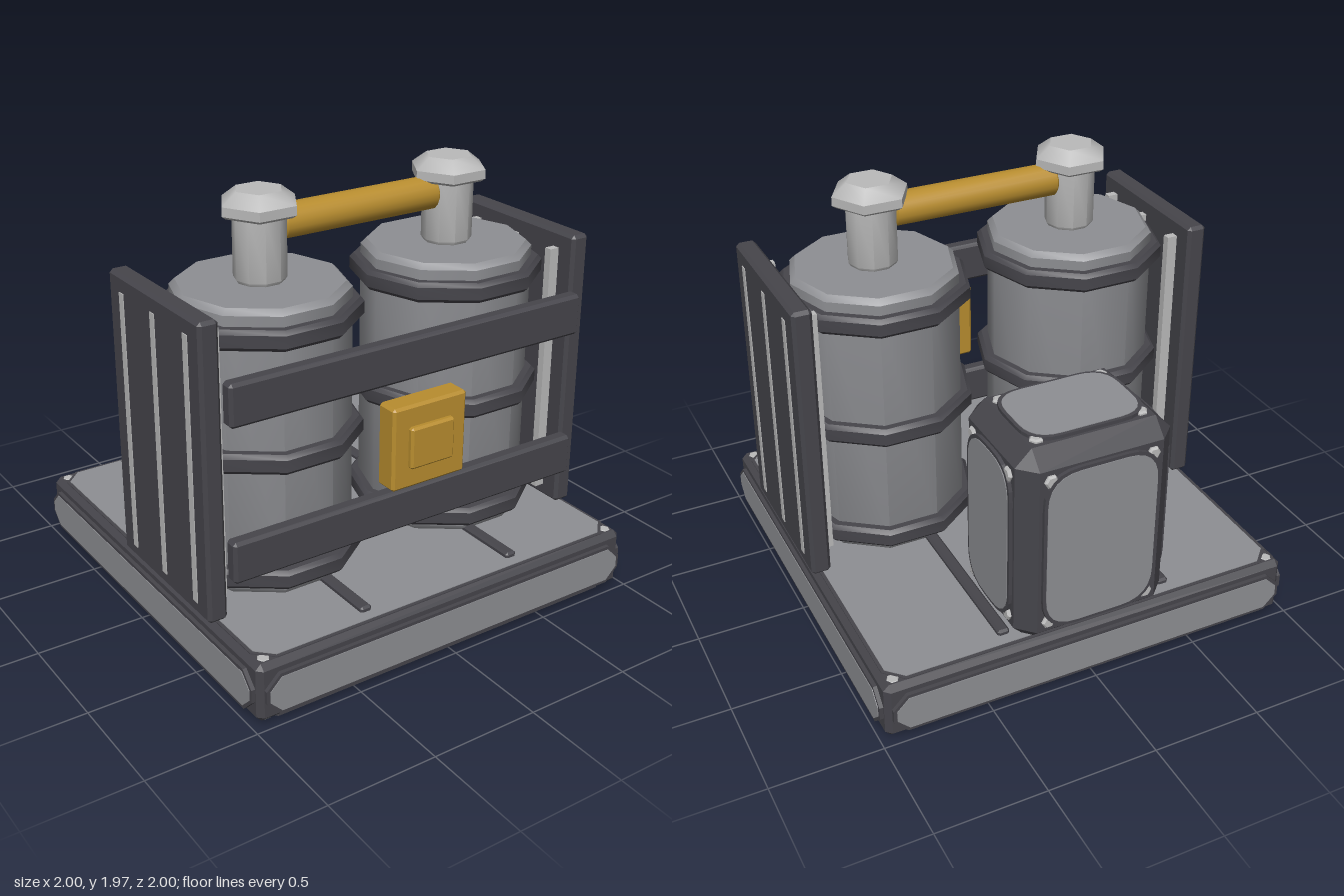
import * as THREE from 'three';
import { toCreasedNormals } from 'three/addons/utils/BufferGeometryUtils.js';
import { ConvexGeometry } from 'three/addons/geometries/ConvexGeometry.js';

const mat = (name, color) => {
  const m = new THREE.MeshStandardMaterial({ color });
  m.name = name;
  return m;
};

export function createModel() {
  const dark = mat('dark frame', 0x46454b);
  const gray = mat('gray panel', 0x8e8f93);
  const silver = mat('silver metal', 0xbababa);
  const gold = mat('gold accent', 0xb88d2f);
  const model = new THREE.Group();

  const add = (parent, name, geo, material, x = 0, y = 0, z = 0) => {
    const m = new THREE.Mesh(geo, material);
    m.name = name;
    m.position.set(x, y, z);
    parent.add(m);
    return m;
  };
  const group = (name, parent = model) => {
    const g = new THREE.Group();
    g.name = name;
    parent.add(g);
    return g;
  };

  // Box with every edge cut at 45 degrees
  const chamferBox = (w, h, d, c = 0.012) => {
    const pts = [];
    for (const sx of [-1, 1]) for (const sy of [-1, 1]) for (const sz of [-1, 1]) {
      const [x, y, z] = [w / 2, h / 2, d / 2];
      pts.push(new THREE.Vector3(sx * x, sy * (y - c), sz * (z - c)));
      pts.push(new THREE.Vector3(sx * (x - c), sy * y, sz * (z - c)));
      pts.push(new THREE.Vector3(sx * (x - c), sy * (y - c), sz * z));
    }
    return new ConvexGeometry(pts);
  };

  // Turned solid with smooth sides and sharp bevels; profile runs bottom to top
  const turned = (profile, sides) => toCreasedNormals(new THREE.LatheGeometry(
    profile.map(([r, y]) => new THREE.Vector2(r, y)), sides, Math.PI / sides, Math.PI * 2), 0.7);

  const bevelDisc = (r, h, b, sides) => turned(
    [[0, -h / 2], [r - b, -h / 2], [r, b - h / 2], [r, h / 2 - b], [r - b, h / 2], [0, h / 2]], sides);

  // Rectangle outline with cut or rounded corners
  const outline = (w, h, c, round) => {
    const [x, y] = [w / 2, h / 2];
    const s = new THREE.Shape();
    const corner = (cx, cy, ex, ey) => (round ? s.quadraticCurveTo(cx, cy, ex, ey) : s.lineTo(ex, ey));
    s.moveTo(-x + c, -y);
    s.lineTo(x - c, -y);
    corner(x, -y, x, -y + c);
    s.lineTo(x, y - c);
    corner(x, y, x - c, y);
    s.lineTo(-x + c, y);
    corner(-x, y, -x, y - c);
    s.lineTo(-x, -y + c);
    corner(-x, -y, -x + c, -y);
    return s;
  };
  const plate = (w, h, c, depth, round) => new THREE.ExtrudeGeometry(
    outline(w, h, c, round), { depth, bevelEnabled: false, curveSegments: 6 });

  // Framed panel facing +z, with optional corner bolts at (bx, by)
  const boltGeo = bevelDisc(0.032, 0.03, 0.008, 6).rotateX(Math.PI / 2);
  const panel = (parent, name, w, h, c, round, bx, by) => {
    const g = group(name, parent);
    add(g, 'panelRim', plate(w + 0.03, h + 0.03, c + 0.01, 0.018, round), dark);
    add(g, 'panelFace', plate(w, h, c, 0.004, round), gray, 0, 0, 0.017);
    if (bx) for (const sx of [-1, 1]) for (const sy of [-1, 1])
      add(g, 'panelBolt', boltGeo, silver, sx * bx, sy * by, 0.002);
    return g;
  };

  // Base slab with panels on all six sides
  const base = group('base');
  add(base, 'baseFrame', chamferBox(1.95, 0.27, 1.95, 0.025), dark, 0, 0.15);
  for (let i = 0; i < 4; i++) {
    const p = panel(base, 'baseSidePanel', 1.87, 0.16, 0.055, false);
    const a = i * Math.PI / 2;
    p.position.set(Math.sin(a) * 0.977, 0.145, Math.cos(a) * 0.977);
    p.rotation.y = a;
  }
  for (const s of [1, -1]) {
    const p = panel(base, s > 0 ? 'deckPanel' : 'undersidePanel', 1.87, 1.87, 0.07, false, 0.92, 0.92);
    p.position.y = s > 0 ? 0.271 : 0.022;
    p.rotation.x = -s * Math.PI / 2;
  }
  for (const s of [-1, 1])
    add(base, 'deckRail', chamferBox(0.055, 0.05, 1.77, 0.01), dark, s * 0.393, 0.29, 0);

  // Ten-sided tanks with bands, bolt-headed valves, and side guards
  const bodyGeo = turned([[0, 0.28], [0.36, 0.29], [0.382, 0.32], [0.382, 1.555], [0.357, 1.58], [0, 1.58]], 10);
  const bandGeo = bevelDisc(0.431, 0.09, 0.018, 10);
  const postGeo = turned([[0, 1.57], [0.1, 1.575], [0.113, 1.595], [0.113, 1.88], [0, 1.88]], 10);
  const headGeo = turned([[0, 1.86], [0.155, 1.862], [0.173, 1.875], [0.173, 1.915], [0.105, 1.967], [0, 1.967]], 6);
  const guardGeo = chamferBox(0.09, 1.325, 0.766, 0.015);
  const stripGeo = new THREE.BoxGeometry(0.142, 1.19, 0.036);
  for (const s of [-1, 1]) {
    const tank = group(s > 0 ? 'leftTank' : 'rightTank');
    tank.position.set(s * 0.485, 0, 0.23);
    add(tank, 'tankBody', bodyGeo, gray);
    for (const y of [0.385, 0.925, 1.465]) add(tank, 'tankBand', bandGeo, dark, 0, y);
    add(tank, 'valvePost', postGeo, silver);
    add(tank, 'valveHead', headGeo, silver);

    const guard = group(s > 0 ? 'leftGuard' : 'rightGuard');
    add(guard, 'guardPlate', guardGeo, dark, s * 0.943, 0.9525, 0.23);
    for (const z of [-0.037, 0.233, 0.503])
      add(guard, 'guardStrip', stripGeo, silver, s * 0.921, 0.945, z);
  }

  // Pipe joining the two valves
  add(model, 'connectingPipe', bevelDisc(0.075, 0.8, 0.015, 16).rotateZ(Math.PI / 2), gold, 0, 1.81, 0.228);

  // Front crossbars and control box
  for (const y of [0.578, 1.272])
    add(model, 'crossbar', chamferBox(1.8, 0.19, 0.07, 0.014), dark, 0, y, 0.647);
  const control = group('controlBox');
  add(control, 'controlBody', chamferBox(0.38, 0.38, 0.11), gold, 0, 0.925, 0.72);
  add(control, 'controlButton', chamferBox(0.225, 0.19, 0.06, 0.01), gold, 0, 0.925, 0.77);

  // Rear equipment case with panels and corner bolts
  const unit = group('rearCase');
  unit.position.set(0, 0.735, -0.69);
  add(unit, 'caseBody', chamferBox(0.72, 0.96, 0.575, 0.075), dark);
  for (const s of [-1, 1]) {
    const side = panel(unit, 'caseSidePanel', 0.37, 0.76, 0.15, true, 0.165, 0.355);
    side.position.x = s * 0.358;
    side.rotation.y = s * Math.PI / 2;
    const end = panel(unit, 'caseEndPanel', 0.51, 0.76, 0.15, true, 0.235, 0.355);
    end.position.z = s * 0.286;
    end.rotation.y = s > 0 ? 0 : Math.PI;
    add(unit, 'caseFrontBar', chamferBox(0.055, 0.64, 0.06, 0.01), dark, s * 0.106, -0.005, 0.302);
  }
  const lid = panel(unit, 'caseTopPanel', 0.53, 0.37, 0.13, true, 0.24, 0.165);
  lid.position.y = 0.478;
  lid.rotation.x = -Math.PI / 2;

  return model;
}
